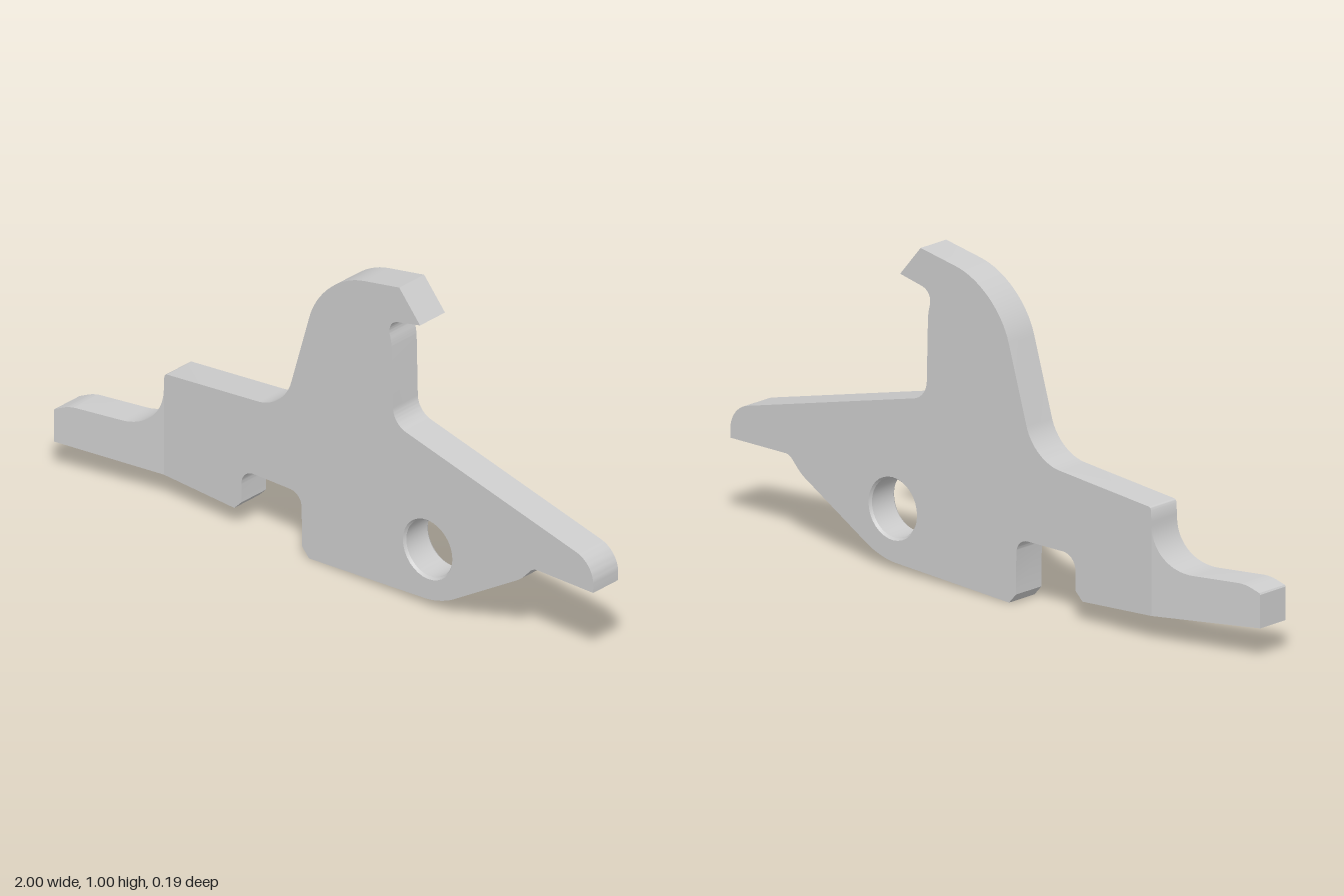
import * as THREE from 'three';
import { toCreasedNormals, mergeGeometries } from 'three/addons/utils/BufferGeometryUtils.js';

const BACK = -0.095, FRONT = 0.013, DEPTH = FRONT - BACK;
const BEND_X = -0.65, BEND_TOP = 0.37, BEND_SHIFT = 0.082;
const HOLE = { x: 0.362, y: 0.19, r: 0.095, inner: 0.089, chamfer: 0.008 };

// Closed outline from corners [x, y, cut]; cut is the rounding length along each side.
function roundedOutline(corners) {
  const shape = new THREE.Shape();
  const n = corners.length;
  const at = (i) => new THREE.Vector2(...corners[(i + n) % n].slice(0, 2));
  corners.forEach(([, , cut = 0], i) => {
    const c = at(i);
    const toward = (p, d) => c.clone().add(p.sub(c).setLength(d));
    const a = cut ? toward(at(i - 1), cut) : c;
    const b = cut ? toward(at(i + 1), cut) : c;
    if (i === 0) shape.moveTo(a.x, a.y);
    else shape.lineTo(a.x, a.y);
    if (cut) {
      const h = a.clone().lerp(c, 0.58), k = b.clone().lerp(c, 0.58);
      shape.bezierCurveTo(h.x, h.y, k.x, k.y, b.x, b.y);
    }
  });
  shape.closePath();
  return shape;
}

function extrude(shape) {
  const g = new THREE.ExtrudeGeometry(shape, { depth: DEPTH, bevelEnabled: false, curveSegments: 16 });
  return g.translate(0, 0, BACK);
}

// Drops the hidden wall where the plate and tail meet.
function openJoint(g) {
  const p = g.attributes.position, keep = [];
  for (let i = 0; i < p.count; i += 3) {
    const hidden = [0, 1, 2].every((k) =>
      Math.abs(p.getX(i + k) - BEND_X) < 1e-4 && p.getY(i + k) < BEND_TOP + 1e-4);
    if (hidden) continue;
    for (let k = 0; k < 3; k++) keep.push(p.getX(i + k), p.getY(i + k), p.getZ(i + k));
  }
  const out = new THREE.BufferGeometry();
  out.setAttribute('position', new THREE.Float32BufferAttribute(keep, 3));
  return out;
}

export function createModel() {
  const group = new THREE.Group();
  const material = new THREE.MeshStandardMaterial({ color: 0xcccccc });
  const add = (geometry, name) => {
    const mesh = new THREE.Mesh(toCreasedNormals(geometry, 0.5), material);
    mesh.name = name;
    group.add(mesh);
  };

  // Flat plate with the hook, pointed arm and lower notch
  const plate = roundedOutline([
    [BEND_X, 0.085], [-0.38, 0.07], [-0.353, 0.097],
    [-0.353, 0.205, 0.05], [-0.122, 0.205, 0.045],      // lower notch
    [-0.12, 0.035], [-0.093, 0.005],
    [0.41, 0.032, 0.06], [0.72, 0.217, 0.015], [0.767, 0.267, 0.015],
    [0.997, 0.267], [1, 0.36, 0.07],                    // arm end
    [0.23, 0.553, 0.05], [0.224, 0.81, 0.02],           // hook throat
    [0.205, 0.877, 0.045], [0.333, 0.905], [0.253, 1],  // hook tip
    [-0.045, 0.945, 0.165],                             // hook back
    [-0.19, 0.455, 0.1], [-0.648, 0.412, 0.01],
    [BEND_X, BEND_TOP],
  ]);
  const hole = new THREE.Path();
  hole.absarc(HOLE.x, HOLE.y, HOLE.r, 0, Math.PI * 2, true);
  plate.holes.push(hole);
  add(openJoint(extrude(plate)), 'plate');

  // Tail that bends forward
  const tail = openJoint(extrude(roundedOutline([
    [BEND_X, 0.085], [BEND_X, BEND_TOP], [-0.655, 0.225, 0.13],
    [-0.95, 0.23, 0.02], [-0.997, 0.21], [-1, 0.205], [-1, 0.104],
  ])));
  const p = tail.attributes.position;
  for (let i = 0; i < p.count; i++) {
    const t = (BEND_X - p.getX(i)) / (BEND_X + 1);
    p.setZ(i, p.getZ(i) + BEND_SHIFT * t);
  }
  add(tail, 'bentTail');

  // Pivot hole lining with a small chamfer at both faces
  const { r, inner, chamfer } = HOLE;
  const rings = [[r, FRONT], [inner, FRONT - chamfer], [inner, BACK + chamfer], [r, BACK]]
    .map(([x, y]) => new THREE.Vector2(x, y));
  const segments = [0, 1, 2].map((i) => new THREE.LatheGeometry(rings.slice(i, i + 2), 32));
  const lining = mergeGeometries(segments);
  lining.rotateX(Math.PI / 2).translate(HOLE.x, HOLE.y, 0);
  add(lining, 'pivotHole');

  return group;
}
